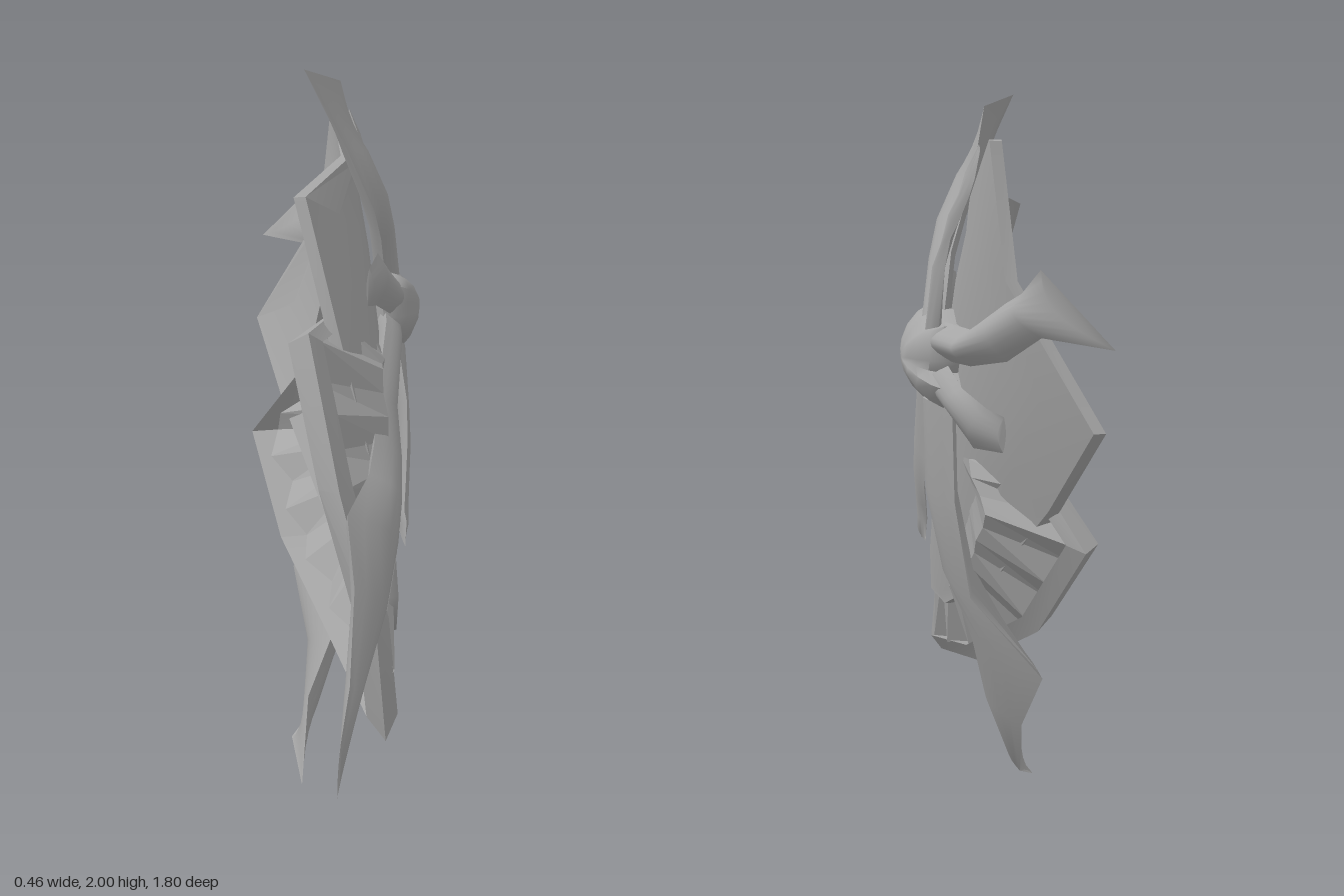
import * as THREE from 'three';
import { toCreasedNormals } from 'three/addons/utils/BufferGeometryUtils.js';

const grey = new THREE.MeshStandardMaterial({ color: 0xa6a6a6, side: THREE.DoubleSide });
grey.name = 'stone grey';

// Skin a list of cross-sections; ends are capped unless the loft is a loop
function loft(rings, { closedRing = true, loop = false, crease = 0.9 } = {}) {
  const pos = [], idx = [], n = rings[0].length, m = rings.length;
  rings.forEach(r => r.forEach(v => pos.push(v.x, v.y, v.z)));
  for (let i = 0; i < (loop ? m : m - 1); i++) {
    for (let j = 0; j < (closedRing ? n : n - 1); j++) {
      const a = i * n + j, b = i * n + (j + 1) % n;
      const c = ((i + 1) % m) * n + j, d = ((i + 1) % m) * n + (j + 1) % n;
      idx.push(a, b, d, a, d, c);
    }
  }
  if (closedRing && !loop) {
    const e = (m - 1) * n;
    for (let j = 1; j < n - 1; j++) idx.push(0, j + 1, j, e, e + j, e + j + 1);
  }
  const g = new THREE.BufferGeometry();
  g.setAttribute('position', new THREE.Float32BufferAttribute(pos, 3));
  g.setIndex(idx);
  return toCreasedNormals(g, crease);
}

// Shield coordinates: t runs up the tilted shield axis, p across it, x is depth
const P = (t, p, x) => new THREE.Vector3(x, 0.30 + 0.84 * t + 0.54 * p, 0.49 - 0.54 * t + 0.84 * p);
const plateX = (t, p) => 0.06 + 0.03 * Math.sin(Math.PI * (t - 0.29) / 1.53) - 0.9 * p * p;
const frameX = (t, p) => 0.015 * t - 0.65 * p * p;

// Arched limb: stations are [zLeft, yLeft, zRight, yRight, x, height, xTilt]
function limb(stations, notch = 0) {
  const m = 8, rings = [];
  stations.forEach((s, k) => {
    const [zl, yl, zr, yr, x, h, tilt = 0] = s;
    const L = new THREE.Vector3(x + tilt, yl, zl), R = new THREE.Vector3(x - tilt, yr, zr);
    const dir = new THREE.Vector3();
    if (k === stations.length - 1 && notch) {
      const q = stations[k - 1];
      dir.set(q[4] - x, (q[1] + q[3] - yl - yr) / 2, (q[0] + q[2] - zl - zr) / 2).setLength(notch);
    }
    const at = (f, bump) => {
      const w = Math.sin(Math.PI * f);
      const v = L.clone().lerp(R, f).addScaledVector(dir, w);
      v.x += bump * w;
      return v;
    };
    const ring = [];
    for (let j = 0; j <= m; j++) ring.push(at(j / m, h));
    for (let j = m - 1; j > 0; j--) ring.push(at(j / m, -0.4 * h));
    rings.push(ring);
  });
  return loft(rings, { crease: 1.1 });
}

// Solid curved shield plate
function shieldPlate() {
  const rows = [[1.82, 0.003], [1.57, 0.22], [1.34, 0.515], [1.04, 0.46], [0.72, 0.36], [0.37, 0.14], [0.29, 0.003]];
  const n = 8;
  return loft(rows.map(([t, w]) => {
    const front = [], back = [];
    for (let j = 0; j <= n; j++) {
      const p = w * (2 * j / n - 1), x = plateX(t, p);
      front.push(P(t, p, x));
      back.unshift(P(t, p, x - 0.03));
    }
    return [...front, ...back];
  }), { crease: 0.6 });
}

// Outline of the lower frame: half, then mirrored
const half = [[1.37, 0], [1.14, 0.27], [0.98, 0.555], [0.6, 0.47], [0.26, 0.275], [0, 0]];
const outline = [...half, ...half.slice(1, -1).reverse().map(([t, p]) => [t, -p])];
const CENTRE = 0.85;
const shrink = ([t, p], k) => [CENTRE + (t - CENTRE) * k, p * k];

// Wedge-section rim: sharp outer ridge, spreading towards the inside
function shieldFrame() {
  return loft(outline.map(o => {
    const i = shrink(o, 0.92), x = frameX(...o);
    return [P(...o, x), P(...i, x + 0.04), P(...i, x - 0.045)];
  }), { loop: true, crease: 0.3 });
}

// Pleated fan of ribs: rises from the frame over the plate's sides and ends inside the plate
function ribFan() {
  const path = outline.slice(1), per = 4, rings = [];
  for (let i = 0; i < path.length - 1; i++) {
    for (let k = 0; k < per; k++) {
      const f = k / per, a = path[i], b = path[i + 1];
      const o = [a[0] + (b[0] - a[0]) * f, a[1] + (b[1] - a[1]) * f];
      const drop = (i * per + k) % 2 ? 0.05 : 0.005;
      const outer = shrink(o, 0.93), mid = shrink(o, 0.63), inner = shrink(o, 0.4);
      const lift = Math.max(-0.012, 0.25 * (Math.abs(mid[1]) - 0.15));
      rings.push([
        P(...outer, frameX(...o) + 0.035 - drop),
        P(...mid, plateX(...mid) + lift - drop * 0.15),
        P(...inner, plateX(...inner) - 0.012)]);
    }
  }
  return loft(rings, { closedRing: false, crease: 0.1 });
}

// Star-shaped domed boss, outline as [z, y]
function starHub() {
  const star = [[-0.11, 1.42], [-0.2, 1.42], [-0.24, 1.385], [-0.28, 1.38], [-0.28, 1.29], [-0.26, 1.26],
    [-0.31, 1.22], [-0.26, 1.17], [-0.21, 1.18], [-0.17, 1.17], [-0.11, 1.18], [-0.09, 1.22],
    [-0.04, 1.24], [-0.01, 1.32], [-0.02, 1.36], [0.0, 1.41], [-0.06, 1.43]];
  const levels = [[1, 0.09], [1, 0.13], [0.85, 0.165], [0.62, 0.195], [0.35, 0.215], [0.15, 0.223], [0.02, 0.225]];
  return loft(levels.map(([k, x]) => star.map(([z, y]) =>
    new THREE.Vector3(x, 1.3 + (y - 1.3) * k, -0.17 + (z + 0.17) * k))), { crease: 1.4 });
}

export function createModel() {
  const model = new THREE.Group();
  model.name = 'shieldEmblem';
  const add = (name, geometry) => {
    const mesh = new THREE.Mesh(geometry, grey);
    mesh.name = name;
    model.add(mesh);
  };

  add('shieldPlate', shieldPlate());
  add('shieldFrame', shieldFrame());
  add('ribFan', ribFan());
  add('hub', starHub());

  // Four long limbs
  add('upperLimb', limb([
    [-0.12, 1.38, -0.21, 1.38, 0.12, 0.05], [-0.05, 1.53, -0.17, 1.57, 0.09, 0.05],
    [0.055, 1.63, -0.135, 1.68, 0.05, 0.055], [0.035, 1.79, -0.1, 1.755, 0.0, 0.05, -0.02],
    [0.11, 2.0, -0.11, 1.945, -0.075, 0.005, -0.065]], 0.08));
  add('rearLimb', limb([
    [-0.22, 1.39, -0.22, 1.29, 0.12, 0.05], [-0.42, 1.38, -0.42, 1.29, 0.09, 0.05],
    [-0.585, 1.45, -0.6, 1.315, 0.04, 0.05], [-0.66, 1.475, -0.69, 1.375, 0.0, 0.04, 0.02],
    [-0.755, 1.53, -0.9, 1.36, -0.065, 0.005, 0.065]], 0.07));
  add('lowerLimb', limb([
    [-0.1, 1.2, -0.28, 1.18, 0.11, 0.06], [-0.06, 0.97, -0.26, 0.92, 0.1, 0.06],
    [-0.055, 0.78, -0.22, 0.65, 0.05, 0.06], [-0.03, 0.545, -0.3, 0.44, -0.065, 0.08, 0.065],
    [0.035, 0.36, -0.15, 0.26, -0.09, 0.06, 0.02], [0.045, 0.18, -0.01, 0.07, -0.14, 0.03],
    [0.235, 0.005, 0.035, 0.04, -0.19, 0.005]], 0.03));
  add('frontLimb', limb([
    [-0.04, 1.34, -0.08, 1.23, 0.1, 0.05], [0.03, 1.325, -0.02, 1.21, 0.09, 0.05],
    [0.25, 1.18, 0.11, 1.08, 0.04, 0.05, -0.02], [0.41, 1.12, 0.25, 0.97, 0.01, 0.06, -0.03],
    [0.5, 1.08, 0.43, 0.92, -0.02, 0.06, -0.03], [0.69, 1.06, 0.5, 0.84, -0.08, 0.08, -0.06],
    [0.73, 0.89, 0.61, 0.72, -0.1, 0.06, -0.03], [0.83, 0.69, 0.8, 0.6, -0.16, 0.03],
    [0.905, 0.59, 0.855, 0.405, -0.195, 0.005]]));

  // Two short stubs
  add('frontStub', limb([
    [-0.08, 1.42, -0.04, 1.32, 0.12, 0.05], [-0.02, 1.45, 0.01, 1.34, 0.1, 0.04],
    [0.1, 1.53, 0.09, 1.385, 0.05, 0.03], [0.185, 1.51, 0.175, 1.41, 0.01, 0.015]]));
  add('rearStub', limb([
    [-0.28, 1.28, -0.2, 1.2, 0.12, 0.05], [-0.36, 1.23, -0.27, 1.15, 0.1, 0.04],
    [-0.47, 1.19, -0.31, 1.07, 0.06, 0.03], [-0.485, 1.17, -0.475, 1.08, 0.02, 0.015]]));

  // Two thin jagged blades along the shield axis
  add('upperBlade', limb([
    [-0.2, 1.38, -0.25, 1.36, 0.14, 0.03], [-0.22, 1.53, -0.35, 1.53, 0.14, 0.02],
    [-0.31, 1.57, -0.37, 1.6, 0.13, 0.02], [-0.335, 1.67, -0.4, 1.64, 0.115, 0.02],
    [-0.39, 1.71, -0.455, 1.7, 0.1, 0.02], [-0.4, 1.77, -0.47, 1.74, 0.09, 0.015],
    [-0.47, 1.82, -0.48, 1.8, 0.08, 0.005]]));
  add('lowerBlade', limb([
    [-0.05, 1.24, -0.13, 1.18, 0.14, 0.03], [0.05, 1.1, -0.08, 1.0, 0.145, 0.02],
    [0.09, 1.0, -0.02, 0.92, 0.14, 0.02], [0.14, 0.89, 0.04, 0.85, 0.125, 0.02],
    [0.17, 0.82, 0.09, 0.8, 0.115, 0.02], [0.2, 0.8, 0.11, 0.74, 0.115, 0.015],
    [0.21, 0.73, 0.13, 0.75, 0.11, 0.005]]));

  return model;
}
